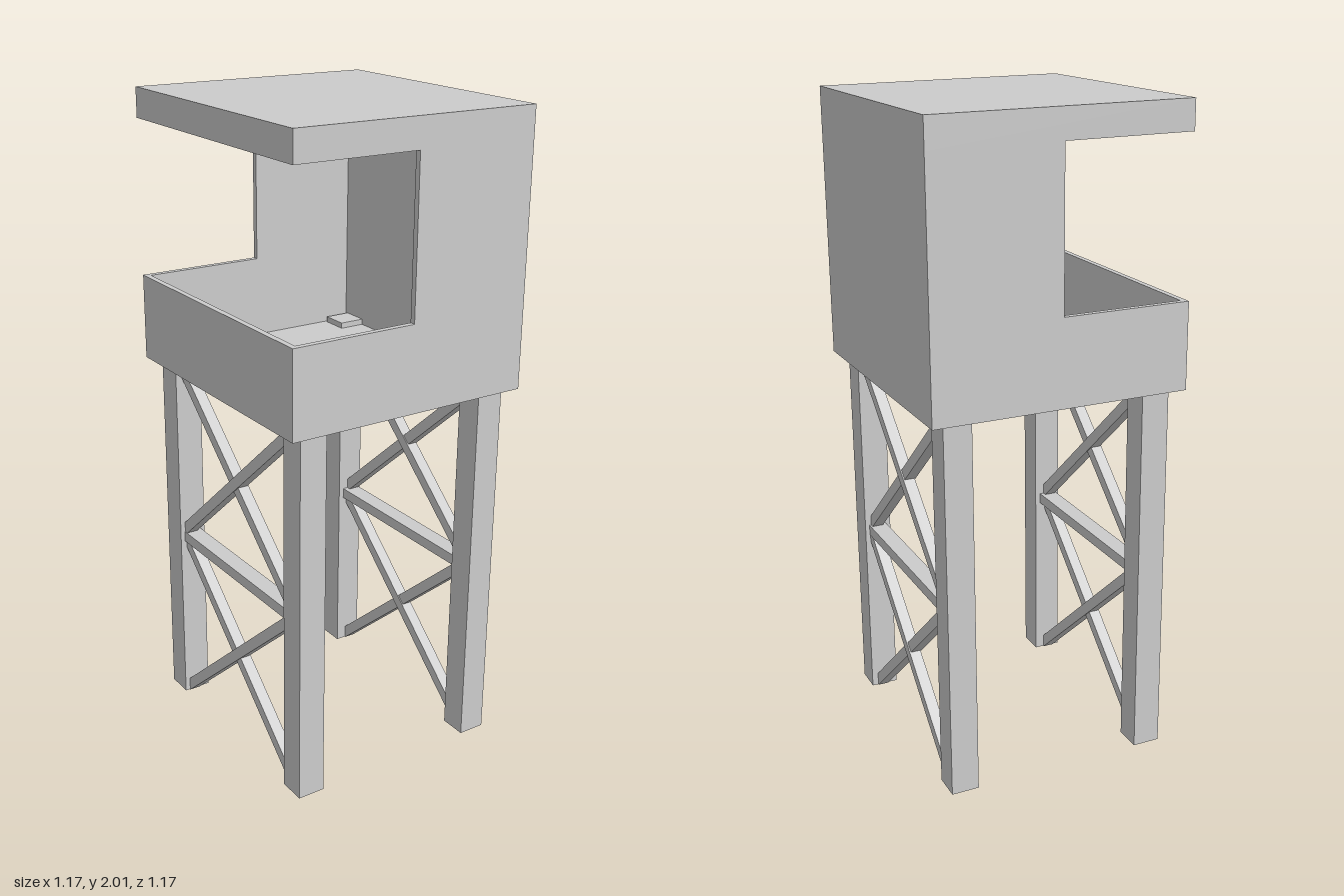
import * as THREE from 'three';

const HX = 0.396, HZ = 0.424;          // cabin half sizes
const BASE = 1.17, SILL = 1.435, EAVE = 1.91, TOP = 2.0;
const LEG_X = 0.311, LEG_Z = 0.354, LEG = 0.086;

export function createModel() {
  const material = new THREE.MeshStandardMaterial({ color: 0xcccccc, flatShading: true });
  const tower = new THREE.Group();
  tower.name = 'watchtower';

  const add = (name, geometry, x, y, z) => {
    const mesh = new THREE.Mesh(geometry, material);
    mesh.name = name;
    mesh.position.set(x, y, z);
    tower.add(mesh);
    return mesh;
  };
  // box given by its low and high corners
  const box = (name, x0, y0, z0, x1, y1, z1) =>
    add(name, new THREE.BoxGeometry(x1 - x0, y1 - y0, z1 - z0),
      (x0 + x1) / 2, (y0 + y1) / 2, (z0 + z1) / 2);

  // Cabin: floor, roof slab, tall back wall and low parapet
  const side = 0.018, back = 0.045;
  box('floor', -HX, BASE, -HZ, HX, BASE + 0.012, HZ);
  box('roof', -HX, EAVE, -HZ, HX, TOP, HZ);
  box('backWall', HX - back, BASE, -HZ, HX, EAVE, HZ);
  box('parapet', -HX, BASE, -HZ, -HX + side, SILL, HZ);

  // Side walls: low at the open half, full height at the closed half
  const profile = new THREE.Shape([
    [-HX, BASE], [HX, BASE], [HX, EAVE], [0, EAVE], [0, SILL], [-HX, SILL],
  ].map(([x, y]) => new THREE.Vector2(x, y)));
  const wall = new THREE.ExtrudeGeometry(profile, { depth: side, bevelEnabled: false });
  add('leftSideWall', wall, 0, 0, HZ - side);
  add('rightSideWall', wall, 0, 0, -HZ);

  // Legs poke slightly through the floor
  const legHeight = 1.2;
  for (const sx of [-1, 1]) {
    for (const sz of [-1, 1]) {
      add('leg', new THREE.BoxGeometry(LEG, legHeight, LEG), sx * LEG_X, legHeight / 2, sz * LEG_Z);
    }

    // Middle beam and two crossed pairs of braces between each pair of legs
    const outer = LEG_X + LEG / 2 - 0.014;
    add('crossBeam', new THREE.BoxGeometry(0.055, 0.034, LEG_Z * 2),
      sx * (outer - 0.0275), 0.578, 0);
    for (const [low, high] of [[0.02, 0.56], [0.605, 1.145]]) {
      const run = LEG_Z * 2 - LEG, rise = high - low;
      for (const dir of [-1, 1]) {
        const brace = add('diagonalBrace',
          new THREE.BoxGeometry(0.036, 0.034, Math.hypot(run, rise) + 0.03),
          sx * (outer - 0.022 - dir * 0.002), (low + high) / 2, 0);
        brace.rotation.x = dir * Math.atan2(rise, run);
      }
    }
  }

  // The tower stands cornerwise and leans very slightly
  tower.rotation.z = -0.012;
  tower.position.set(-0.019, 0.004, 0);
  const model = new THREE.Group();
  model.name = 'tower';
  model.add(tower);
  model.rotation.y = Math.PI / 4;
  return model;
}
